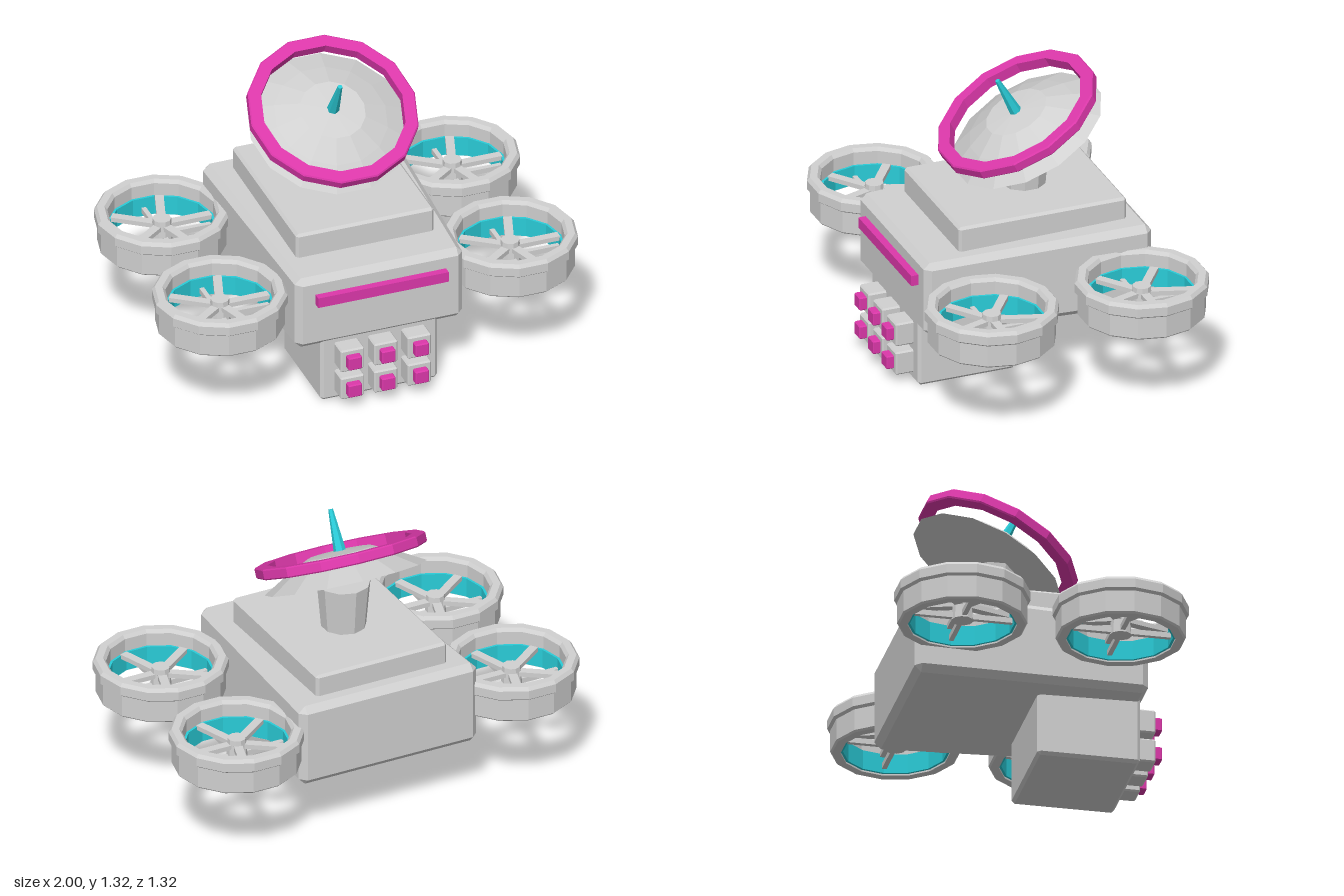
import * as THREE from 'three';
import { ConvexGeometry } from 'three/addons/geometries/ConvexGeometry.js';

const SIDES = 14;

function flat(geometry) {
  const g = geometry.index ? geometry.toNonIndexed() : geometry;
  g.computeVertexNormals();
  return g;
}

// Box with chamfered edges; reshape may move each corner point
function chamferBox(w, h, d, c, reshape = () => {}) {
  const pts = [];
  for (const sx of [-1, 1]) for (const sy of [-1, 1]) for (const sz of [-1, 1]) {
    for (let full = 0; full < 3; full++) {
      const p = new THREE.Vector3(
        sx * (w / 2 - (full === 0 ? 0 : c)),
        sy * (h / 2 - (full === 1 ? 0 : c)),
        sz * (d / 2 - (full === 2 ? 0 : c)));
      reshape(p);
      pts.push(p);
    }
  }
  return new ConvexGeometry(pts);
}

// Faceted lathe with a flat side facing front and back
const lathe = (points) => flat(new THREE.LatheGeometry(
  points.map(([r, y]) => new THREE.Vector2(r, y)), SIDES, Math.PI / 2));

const drum = (rTop, rBottom, h, sides) => flat(new THREE.CylinderGeometry(rTop, rBottom, h, sides));

export function createModel() {
  const model = new THREE.Group();
  model.name = 'dishDrone';

  const material = (name, color) => {
    const m = new THREE.MeshStandardMaterial({ color });
    m.name = name;
    return m;
  };
  const grey = material('lightGrey', 0xd0d0d0);
  const magenta = material('magenta', 0xdc38aa);
  const cyan = material('cyan', 0x2accd8);

  const add = (parent, name, geometry, mat, x = 0, y = 0, z = 0) => {
    const mesh = new THREE.Mesh(geometry, mat);
    mesh.name = name;
    mesh.position.set(x, y, z);
    parent.add(mesh);
    return mesh;
  };

  // Hull, wider and taller toward the back
  add(model, 'hull', chamferBox(0.85, 0.38, 1.08, 0.03, (p) => {
    const t = p.z / 0.54;
    p.x *= 1 - 0.06 * t;
    p.y *= 1 - 0.055 * t;
  }), grey, 0, 0.48, 0.02);
  add(model, 'upperDeck', chamferBox(0.66, 0.16, 0.81, 0.012), grey, 0, 0.702, -0.035);
  add(model, 'frontStripe', new THREE.BoxGeometry(0.625, 0.05, 0.05), magenta, 0, 0.553, 0.57);

  // Lower box with two rows of buttons
  add(model, 'lowerBox', chamferBox(0.56, 0.34, 0.47, 0.014), grey, 0, 0.17, 0.31);
  for (const y of [0.097, 0.24]) for (const x of [-0.16, 0, 0.16]) {
    add(model, 'buttonBase', chamferBox(0.113, 0.113, 0.1, 0.007), grey, x, y, 0.58);
    add(model, 'button', chamferBox(0.065, 0.065, 0.045, 0.005), magenta, x, y, 0.642);
  }

  // Tilted dish on its pedestal
  add(model, 'pedestal', drum(0.122, 0.102, 0.23, 10), grey, 0, 0.885, -0.073);
  const dish = new THREE.Group();
  dish.name = 'dish';
  dish.position.set(0, 1.122, -0.045);
  dish.rotation.x = THREE.MathUtils.degToRad(27.4);
  model.add(dish);
  add(dish, 'dishRing', lathe([
    [0.33, -0.025], [0.385, -0.025], [0.391, -0.019], [0.391, 0.019],
    [0.385, 0.025], [0.33, 0.025], [0.33, -0.025]]), magenta);
  add(dish, 'dishDome', lathe([
    [0, -0.105], [0.372, -0.105], [0.26, -0.041], [0.15, 0.012], [0, 0.022]]), grey);
  add(dish, 'dishSpike', drum(0.011, 0.029, 0.2, 6), cyan, 0, 0.11, 0);

  // Four ducted rotors
  const ductGeo = lathe([
    [0.245, 0.4], [0.284, 0.4], [0.292, 0.408], [0.292, 0.51], [0.305, 0.52], [0.305, 0.562],
    [0.292, 0.578], [0.258, 0.578], [0.245, 0.562], [0.245, 0.4]]);
  const linerGeo = lathe([
    [0.234, 0.408], [0.246, 0.408], [0.246, 0.5], [0.234, 0.5], [0.234, 0.408]]);
  const hubGeo = drum(0.042, 0.05, 0.11, 10);
  const bladeGeo = new THREE.BoxGeometry(0.215, 0.022, 0.04);
  const strutGeo = new THREE.BoxGeometry(0.235, 0.025, 0.022);
  const spokes = (parent, name, geo, count, y) => {
    for (let i = 0; i < count; i++) {
      const a = (i / count) * Math.PI * 2;
      const bar = add(parent, name, geo, grey, Math.cos(a) * 0.125, y, -Math.sin(a) * 0.125);
      bar.rotation.y = a;
    }
  };
  for (const x of [-0.695, 0.695]) for (const z of [-0.3625, 0.3625]) {
    const rotor = new THREE.Group();
    rotor.name = (z > 0 ? 'front' : 'back') + (x > 0 ? 'Left' : 'Right') + 'Rotor';
    rotor.position.set(x, 0, z);
    model.add(rotor);
    add(rotor, 'duct', ductGeo, grey);
    add(rotor, 'ductLiner', linerGeo, cyan);
    add(rotor, 'hub', hubGeo, grey, 0, 0.475, 0);
    spokes(rotor, 'blade', bladeGeo, 5, 0.495);
    spokes(rotor, 'strut', strutGeo, 4, 0.44);
  }
  return model;
}
